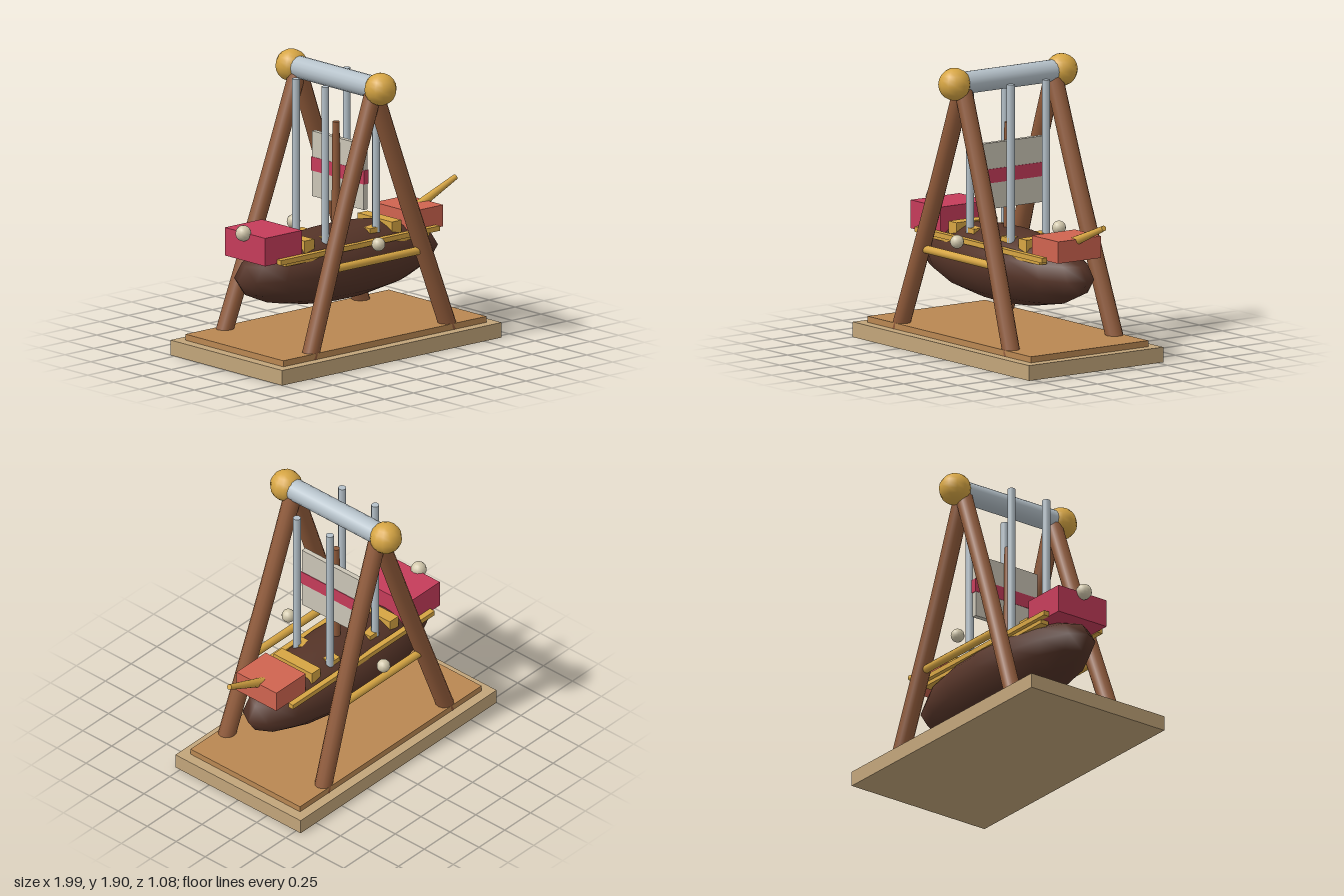
import * as THREE from 'three';

const paint = (name, color) => {
  const m = new THREE.MeshStandardMaterial({ color });
  m.name = name;
  return m;
};

export function createModel() {
  const model = new THREE.Group();
  model.name = 'swingBoat';
  const CX = -0.05; // middle of the ride along x

  const tan = paint('tan', 0xc2a57a);
  const ochre = paint('ochre', 0xb98752);
  const wood = paint('wood', 0x8f5a3a);
  const hullBrown = paint('hullBrown', 0x553428);
  const gold = paint('gold', 0xd6a543);
  const steel = paint('steel', 0xb5c1c9);
  const canvas = paint('canvas', 0xcbc5b6);
  const crimson = paint('crimson', 0xc53c5a);
  const coral = paint('coral', 0xcf6450);
  const cream = paint('cream', 0xd2c8ac);

  const add = (name, geometry, material, x = 0, y = 0, z = 0) => {
    const mesh = new THREE.Mesh(geometry, material);
    mesh.name = name;
    mesh.position.set(x, y, z);
    model.add(mesh);
    return mesh;
  };
  // Box given by its limits in x and y, and its centre and width in z
  const box = (name, mat, x0, x1, y0, y1, depth, z = 0) =>
    add(name, new THREE.BoxGeometry(x1 - x0, y1 - y0, depth), mat, (x0 + x1) / 2, (y0 + y1) / 2, z);
  const ball = (name, mat, r, x, y, z) =>
    add(name, new THREE.SphereGeometry(r, 12, 10), mat, x, y, z);
  // Round bar between two points
  const bar = (name, mat, a, b, r0, r1 = r0, sides = 12) => {
    const p = new THREE.Vector3(...a);
    const q = new THREE.Vector3(...b);
    const dir = q.clone().sub(p);
    const mesh = add(name, new THREE.CylinderGeometry(r1, r0, dir.length(), sides), mat);
    mesh.position.copy(p).add(q).multiplyScalar(0.5);
    mesh.quaternion.setFromUnitVectors(new THREE.Vector3(0, 1, 0), dir.normalize());
    return mesh;
  };

  // Base
  box('basePlinth', tan, -1, 0.9, 0, 0.1, 1.08);
  box('basePlatform', ochre, -0.93, 0.83, 0.1, 0.14, 0.945);

  // Support frame: slightly bowed legs, hub balls, tie bars and top axle
  for (const side of [1, -1]) {
    for (const end of [1, -1]) {
      const path = new THREE.CatmullRomCurve3([
        new THREE.Vector3(CX + end * 0.605, 0.09, side * 0.418),
        new THREE.Vector3(CX + end * 0.26, 1.05, side * 0.378),
        new THREE.Vector3(CX, 1.77, side * 0.365),
      ]);
      add('frameLeg', new THREE.TubeGeometry(path, 12, 0.058, 12), wood);
    }
    ball('hubBall', gold, 0.106, CX, 1.79, side * 0.43);
    bar('tieBar', gold, [CX - 0.41, 0.65, side * 0.395], [CX + 0.41, 0.65, side * 0.395], 0.027);
    ball('frameLamp', cream, 0.045, CX, 0.755, side * 0.41);
  }
  bar('topAxle', steel, [CX, 1.79, -0.43], [CX, 1.79, 0.43], 0.073, 0.073, 16);

  // Hull
  add('hull', new THREE.SphereGeometry(1, 16, 8), hullBrown, CX, 0.567, 0).scale.set(0.85, 0.246, 0.28);

  // Hull trim, hanging rods and seats
  for (const side of [1, -1]) {
    box('upperRail', gold, -0.74, 0.635, 0.697, 0.73, 0.04, side * 0.218);
    box('lowerRail', gold, -0.67, 0.57, 0.672, 0.7, 0.06, side * 0.18);
    for (const end of [1, -1]) {
      const x = CX + end * 0.22;
      bar('hangerRod', steel, [x, 0.75, side * 0.142], [x, 1.79, side * 0.142], 0.026, 0.026, 10);
      const sx = CX + end * 0.188;
      box('seat', gold, sx - 0.042, sx + 0.042, 0.73, 0.787, 0.08, side * 0.125);
    }
  }
  for (const end of [1, -1]) {
    const x = CX + end * 0.378;
    box('crossBench', gold, x - 0.042, x + 0.042, 0.72, 0.8, 0.33);
  }

  // Mast and sail
  bar('mast', wood, [CX, 0.7, 0], [CX, 1.495, 0], 0.031, 0.024);
  box('sail', canvas, -0.035, -0.001, 0.95, 1.383, 0.5);
  box('sailStripe', crimson, -0.038, 0.003, 1.12, 1.212, 0.51);

  // Stern cabin with lantern, bow cabin with bowsprit
  box('sternCabin', crimson, -0.838, -0.518, 0.7, 0.886, 0.39);
  ball('sternLantern', cream, 0.052, -0.852, 0.886, 0);
  box('bowCabin', coral, 0.438, 0.722, 0.7, 0.843, 0.345);
  bar('bowsprit', gold, [0.6, 0.79, 0], [0.985, 0.953, 0], 0.034, 0.018);

  return model;
}
